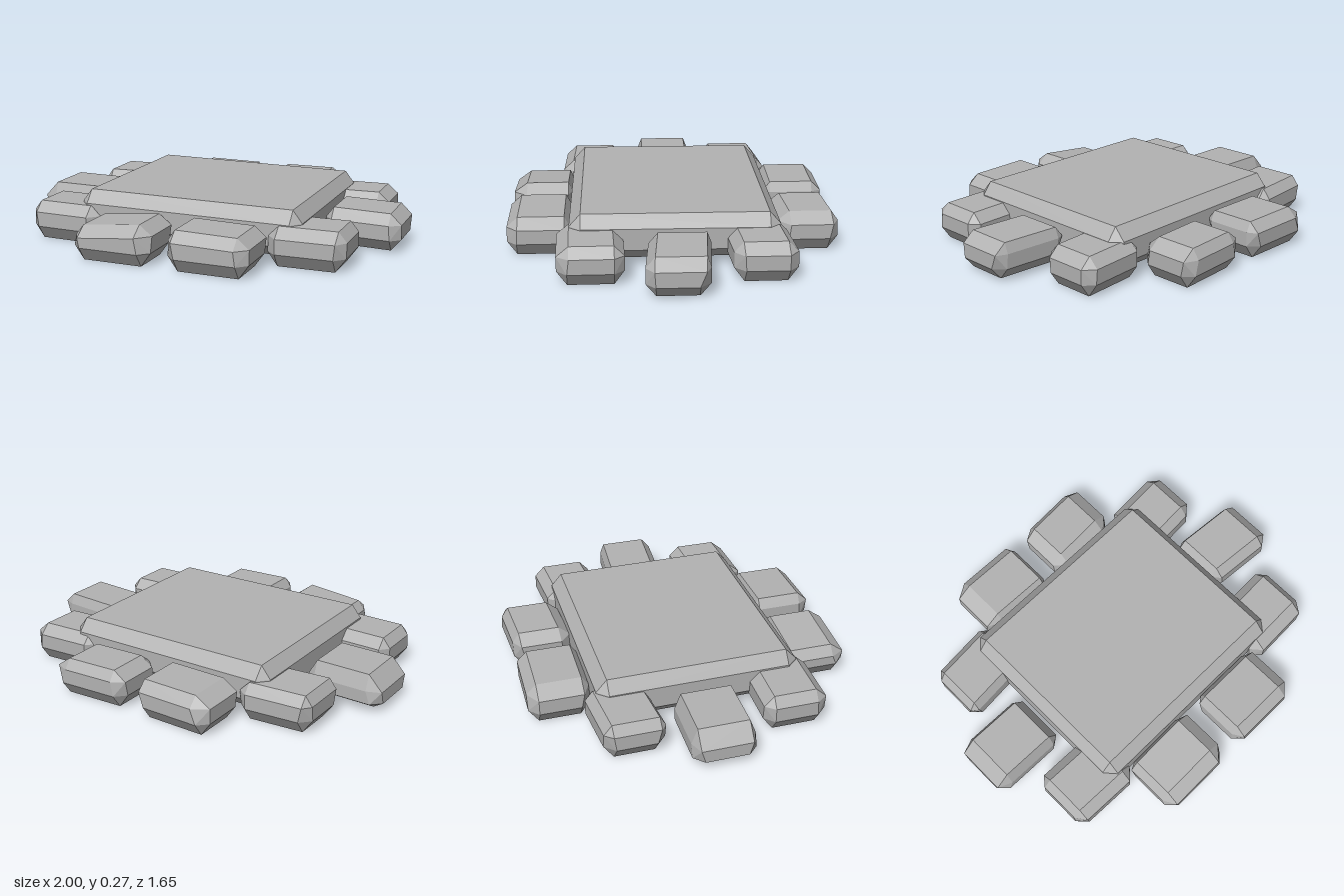
import * as THREE from 'three';
import { ConvexGeometry } from 'three/addons/geometries/ConvexGeometry.js';

// Chamfered block: outer and top are [x0, x1, z0, z1]; levels are [bottom, lower belt, upper belt, top].
// tilt raises the top along x and z, skew shears z along x, inset is the underside chamfer.
function blockGeometry({ outer, top, levels, tilt = [0, 0], skew = 0, inset = 0.05 }) {
  const [bottom, low, high, crown] = levels;
  const cx = (outer[0] + outer[1]) / 2;
  const cz = (outer[2] + outer[3]) / 2;
  const points = [];
  const add = (x, y, z) => points.push(new THREE.Vector3(x, y, z + skew * (x - cx)));
  for (const i of [0, 1]) {
    for (const j of [2, 3]) {
      const ox = outer[i], oz = outer[j], tx = top[i], tz = top[j];
      const bx = ox + (i === 0 ? inset : -inset);
      const bz = oz + (j === 2 ? inset : -inset);
      const lift = tilt[0] * (tx - cx) + tilt[1] * (tz - cz);
      add(tx, crown + lift, tz);
      add(ox, high + lift, tz);
      add(tx, high + lift, oz);
      add(ox, low, bz);
      add(bx, low, oz);
      add(bx, bottom, bz);
    }
  }
  return new ConvexGeometry(points);
}

export function createModel() {
  const group = new THREE.Group();
  const stone = new THREE.MeshStandardMaterial({ color: 0xb2b2b2, flatShading: true });
  stone.name = 'grey stone';

  const add = (name, spec) => {
    const mesh = new THREE.Mesh(blockGeometry(spec), stone);
    mesh.name = name;
    group.add(mesh);
  };

  // Large square slab in the middle
  add('centreSlab', {
    outer: [-0.575, 0.598, -0.515, 0.512], top: [-0.525, 0.55, -0.46, 0.455],
    levels: [0.045, 0.1, 0.21, 0.273], tilt: [-0.004, 0.004], inset: 0.05,
  });

  // Ring of ten rough stones around the slab
  const L = [0.01, 0.08, 0.155, 0.205];
  const stones = {
    backLeftStone: { outer: [0.045, 0.45, -0.82, -0.515], top: [0.11, 0.38, -0.785, -0.575], skew: -0.05, levels: L },
    backRightStone: { outer: [-0.45, -0.045, -0.825, -0.515], top: [-0.37, -0.07, -0.775, -0.55], skew: 0.02, levels: L },
    frontLeftStone: { outer: [0.045, 0.45, 0.515, 0.825], top: [0.08, 0.39, 0.54, 0.77], tilt: [-0.02, 0], levels: L },
    frontRightStone: { outer: [-0.45, -0.045, 0.515, 0.825], top: [-0.41, -0.11, 0.535, 0.755], tilt: [0.1, 0], levels: [0.01, 0.08, 0.145, 0.195] },
    backLeftCornerStone: { outer: [0.45, 0.832, -0.56, -0.255], top: [0.5, 0.775, -0.51, -0.3], skew: -0.06, levels: L },
    backRightCornerStone: { outer: [-0.825, -0.45, -0.555, -0.255], top: [-0.79, -0.5, -0.515, -0.285], skew: -0.08, levels: L },
    frontLeftCornerStone: { outer: [0.45, 0.832, 0.25, 0.57], top: [0.5, 0.79, 0.3, 0.51], skew: -0.03, levels: L },
    frontRightCornerStone: { outer: [-0.83, -0.45, 0.25, 0.57], top: [-0.79, -0.5, 0.3, 0.515], skew: 0.03, levels: L },
    leftStone: { outer: [0.605, 0.997, -0.155, 0.145], top: [0.645, 0.94, -0.135, 0.1], skew: 0.08, levels: [0.02, 0.08, 0.155, 0.208] },
    rightStone: { outer: [-0.998, -0.595, -0.16, 0.155], top: [-0.925, -0.64, -0.13, 0.125], skew: 0.02, levels: [0.03, 0.06, 0.125, 0.203] },
  };
  for (const [name, spec] of Object.entries(stones)) add(name, spec);

  return group;
}
